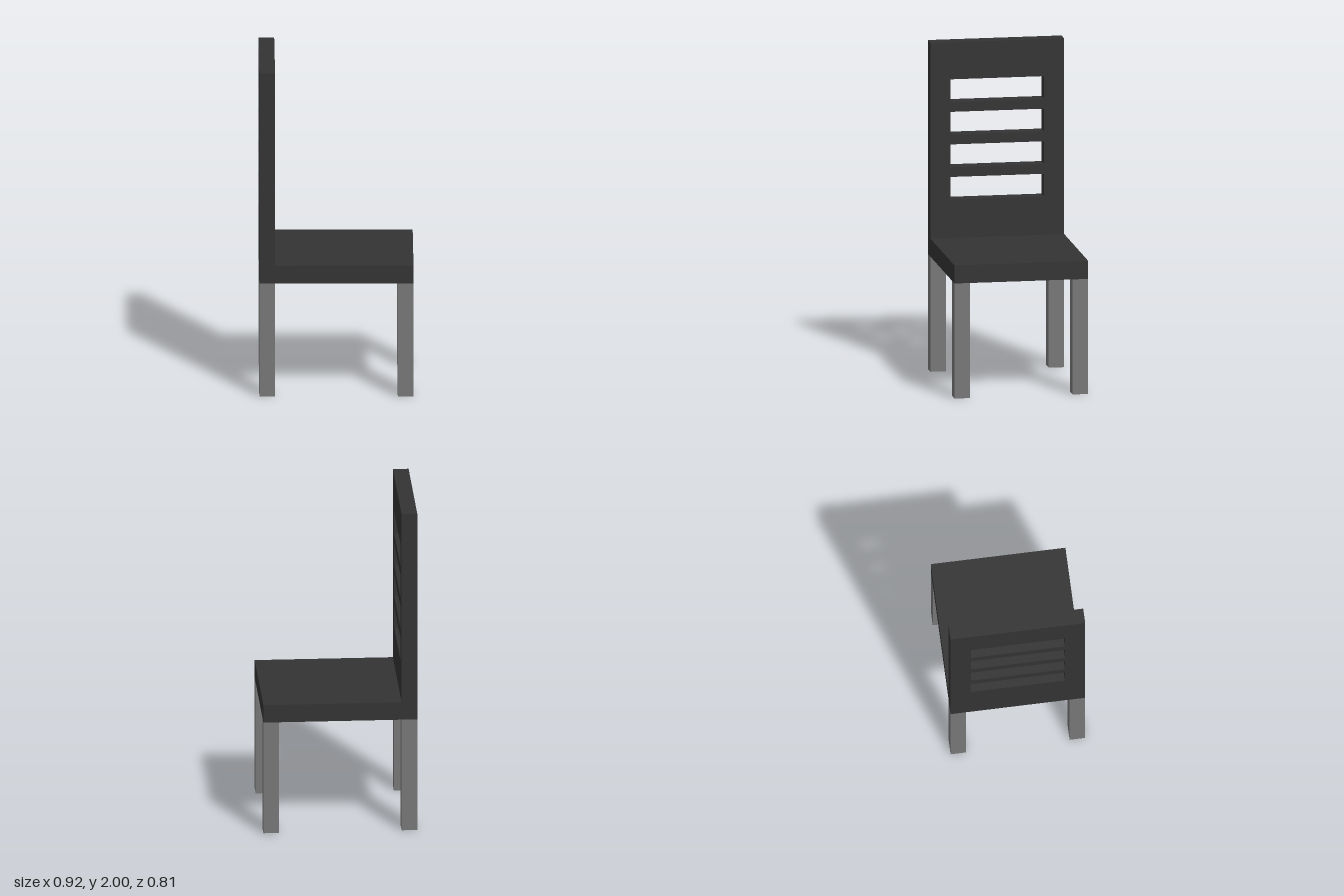
import * as THREE from 'three';

const HALF_X = 0.46, HALF_Z = 0.405;
const SEAT_BOTTOM = 0.7, SEAT_TOP = 0.81;
const THICK = 0.094; // backrest depth and leg width

const rect = (Type, w, y0, y1) => new Type([
  new THREE.Vector2(-w, y0), new THREE.Vector2(w, y0),
  new THREE.Vector2(w, y1), new THREE.Vector2(-w, y1),
]);

export function createModel() {
  const chair = new THREE.Group();
  chair.name = 'chair';
  const dark = new THREE.MeshStandardMaterial({ color: 0x333333 });
  const grey = new THREE.MeshStandardMaterial({ color: 0x777777 });

  const add = (name, geometry, material, x = 0, y = 0, z = 0) => {
    const mesh = new THREE.Mesh(geometry, material);
    mesh.name = name;
    mesh.position.set(x, y, z);
    chair.add(mesh);
  };

  // Backrest: an upright panel on the -x side with four horizontal slots
  const panel = rect(THREE.Shape, HALF_Z, SEAT_BOTTOM, 2);
  for (let i = 0; i < 4; i++) {
    const y = 1.042 + i * 0.198;
    panel.holes.push(rect(THREE.Path, 0.283, y, y + 0.139));
  }
  const back = new THREE.ExtrudeGeometry(panel, { depth: THICK, bevelEnabled: false });
  back.rotateY(-Math.PI / 2);
  add('backrest', back, dark, -HALF_X + THICK);

  // Seat: a slab meeting the front of the backrest
  const seatLength = 2 * HALF_X - THICK;
  add('seat', new THREE.BoxGeometry(seatLength, SEAT_TOP - SEAT_BOTTOM, 2 * HALF_Z), dark,
    THICK / 2, (SEAT_TOP + SEAT_BOTTOM) / 2, 0);

  // Legs: square posts flush with the corners
  const leg = new THREE.BoxGeometry(THICK, SEAT_BOTTOM, THICK);
  for (const sx of [-1, 1]) {
    for (const sz of [-1, 1]) {
      add(`${sx < 0 ? 'back' : 'front'}Leg${sz < 0 ? 'A' : 'B'}`, leg, grey,
        sx * (HALF_X - THICK / 2), SEAT_BOTTOM / 2, sz * (HALF_Z - THICK / 2));
    }
  }
  return chair;
}
